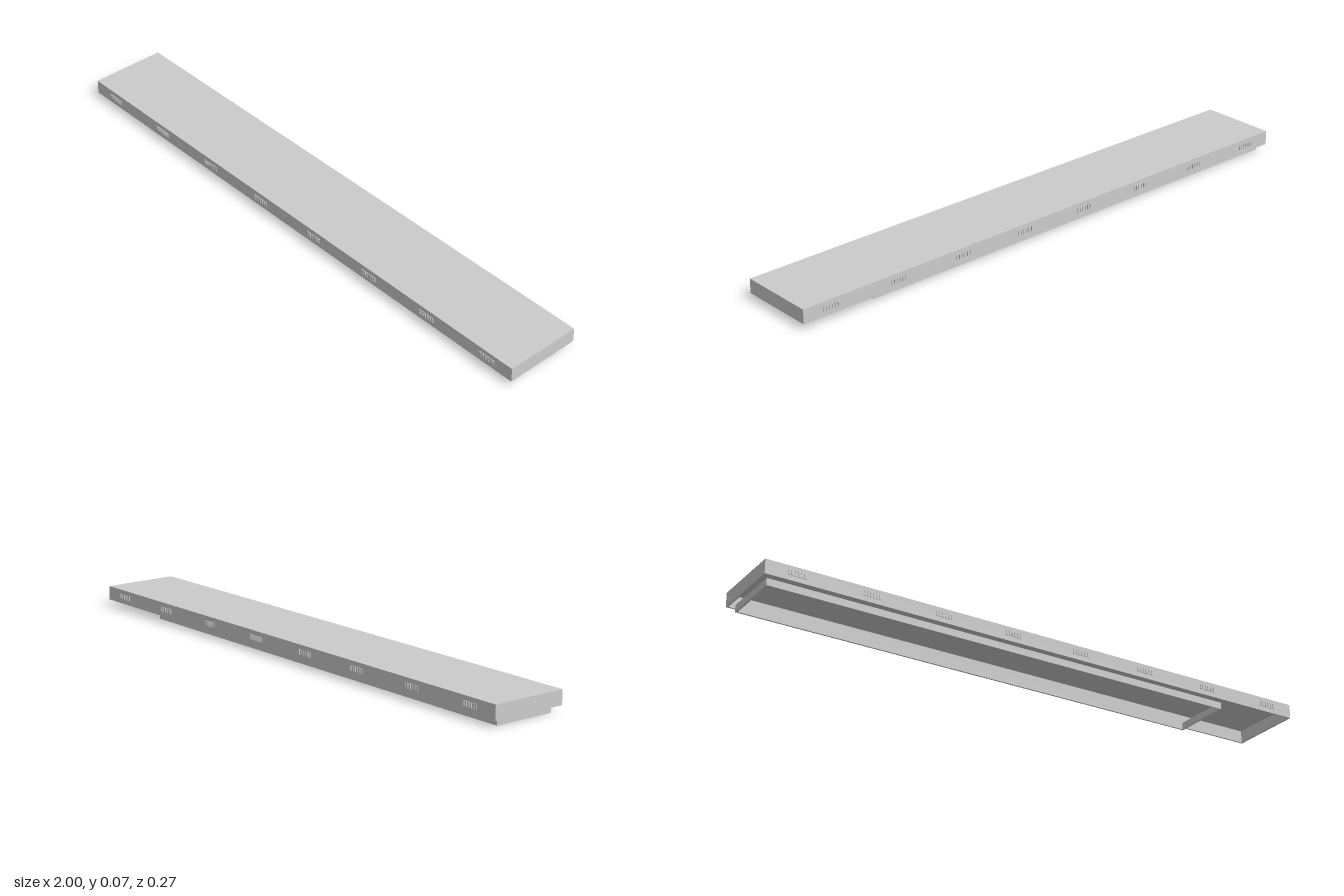
import * as THREE from 'three';

const material = new THREE.MeshStandardMaterial({ color: 0xcccccc });

// Upright rectangular ring of thin walls: x0..x1, y0..y1, half depth d, wall thickness t
function wallRing(name, x0, x1, y0, y1, d, t) {
  const rect = (path, a, b, c) => path.moveTo(a, -c).lineTo(b, -c).lineTo(b, c).lineTo(a, c).closePath();
  const shape = rect(new THREE.Shape(), x0, x1, d);
  shape.holes.push(rect(new THREE.Path(), x0 + t, x1 - t, d - t));
  const geometry = new THREE.ExtrudeGeometry(shape, { depth: y1 - y0, bevelEnabled: false });
  geometry.rotateX(-Math.PI / 2).translate(0, y0, 0);
  const mesh = new THREE.Mesh(geometry, material);
  mesh.name = name;
  return mesh;
}

function box(name, w, h, d, x, y, z) {
  const mesh = new THREE.Mesh(new THREE.BoxGeometry(w, h, d), material);
  mesh.position.set(x, y, z);
  mesh.name = name;
  return mesh;
}

// Small grille of upright slats
function createVent(x, z) {
  const vent = new THREE.Group();
  vent.name = 'vent';
  const slats = 6, width = 0.06, slat = 0.006;
  for (let i = 0; i < slats; i++) {
    const sx = -width / 2 + slat / 2 + (i * (width - slat)) / (slats - 1);
    vent.add(box('ventSlat', slat, 0.017, 0.004, sx, 0, 0));
  }
  vent.position.set(x, 0.048, z);
  return vent;
}

export function createModel() {
  const model = new THREE.Group();
  model.name = 'panel';

  // Shallow housing, open underneath
  model.add(wallRing('housingWalls', -1, 1, 0.023, 0.066, 0.134, 0.006));
  model.add(box('housingTop', 2, 0.006, 0.268, 0, 0.069, 0));

  // Lower skirt, set back from the housing and shorter at one end
  model.add(wallRing('lowerSkirt', -0.98, 0.72, 0, 0.024, 0.108, 0.006));

  // Rows of vents along both long sides
  for (const side of [-1, 1]) {
    for (let i = 0; i < 8; i++) model.add(createVent(-0.893 + i * 0.256, side * 0.135));
  }
  return model;
}
